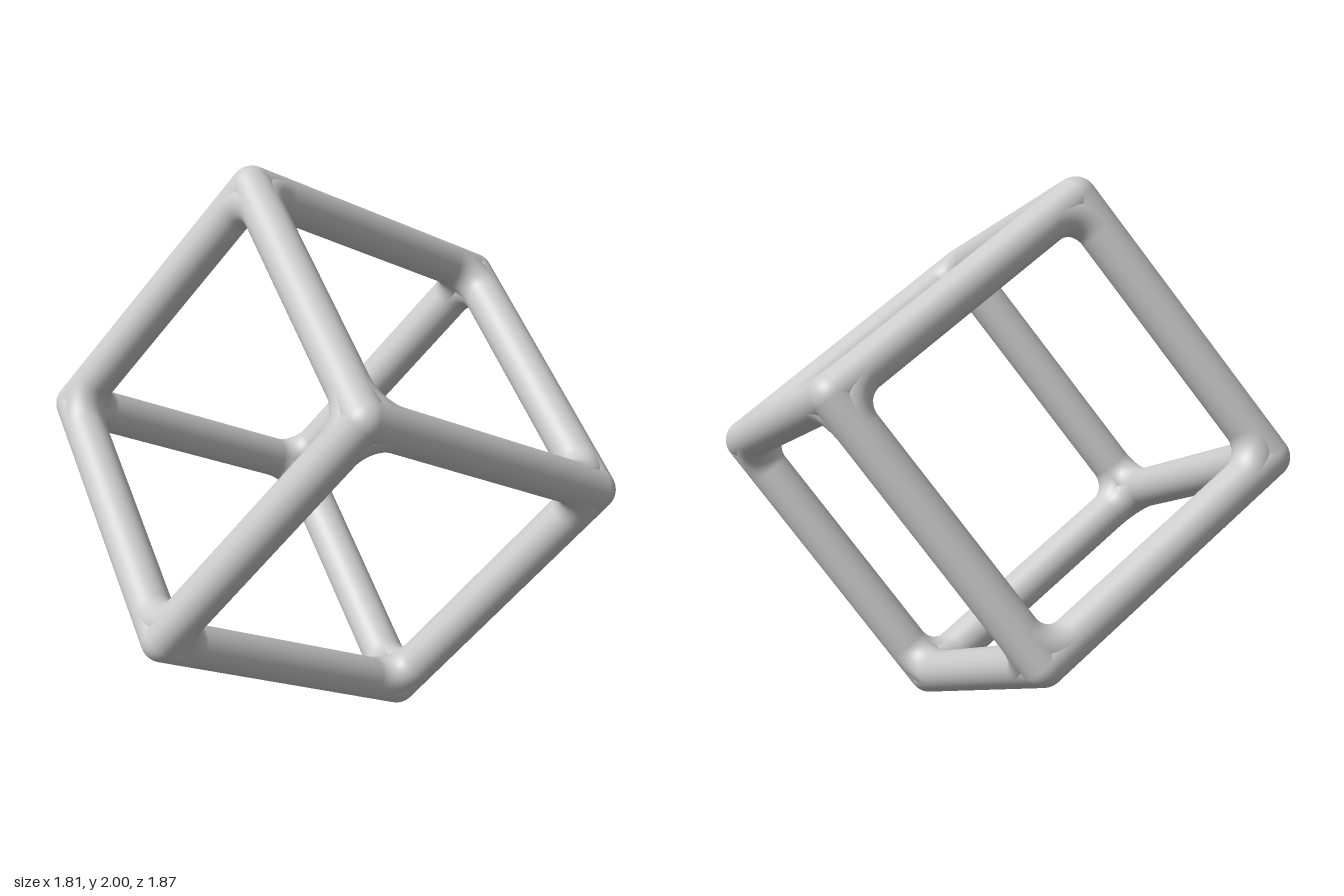
import * as THREE from 'three';

const EDGE = 1.112;   // distance between neighbouring corners
const R = 0.075;      // bar radius
const BEND = 0.14;    // centre-line radius of the inner corner fillets

export function createModel() {
  const model = new THREE.Group();
  model.name = 'tiltedCubeFrame';
  const material = new THREE.MeshStandardMaterial({ color: 0xcccccc });
  const h = EDGE / 2;
  const signs = [-1, 1];
  const axis = (i, s = 1) => new THREE.Vector3().setComponent(i % 3, s);

  const frame = new THREE.Group();
  frame.name = 'cubeFrame';
  model.add(frame);

  const barGeo = new THREE.CylinderGeometry(R, R, EDGE, 40, 1, true);
  const ballGeo = new THREE.SphereGeometry(R, 40, 24);
  const filletGeo = new THREE.TorusGeometry(BEND, R, 32, 12, Math.PI / 2);

  const add = (geometry, name, position) => {
    const mesh = new THREE.Mesh(geometry, material);
    mesh.name = name;
    mesh.position.copy(position);
    frame.add(mesh);
    return mesh;
  };

  // Twelve round bars, four along each axis
  for (let i = 0; i < 3; i++)
    for (const s of signs)
      for (const t of signs) {
        const p = axis(i + 1, s * h).add(axis(i + 2, t * h));
        add(barGeo, 'edgeBar', p).quaternion.setFromUnitVectors(axis(1), axis(i));
      }

  // Eight rounded corners, each with a fillet in its three faces
  for (const sx of signs)
    for (const sy of signs)
      for (const sz of signs) {
        const s = [sx, sy, sz];
        const corner = new THREE.Vector3(sx, sy, sz).multiplyScalar(h);
        add(ballGeo, 'cornerBall', corner);
        for (let i = 0; i < 3; i++) {
          const u = axis(i, s[i]);
          const v = axis(i + 1, s[(i + 1) % 3]);
          const w = u.clone().cross(v);
          const centre = corner.clone().addScaledVector(u, -BEND).addScaledVector(v, -BEND);
          add(filletGeo, 'cornerFillet', centre)
            .quaternion.setFromRotationMatrix(new THREE.Matrix4().makeBasis(u, v, w));
        }
      }

  // Tilt the cube so that it stands on one corner
  const a = new THREE.Vector3(0.842, -0.421, 0.339).normalize();
  const c = a.clone().cross(new THREE.Vector3(-0.522, -0.787, 0.329)).normalize();
  const b = c.clone().cross(a);
  frame.quaternion.setFromRotationMatrix(new THREE.Matrix4().makeBasis(a, b, c));
  frame.position.y = 1;
  return model;
}
